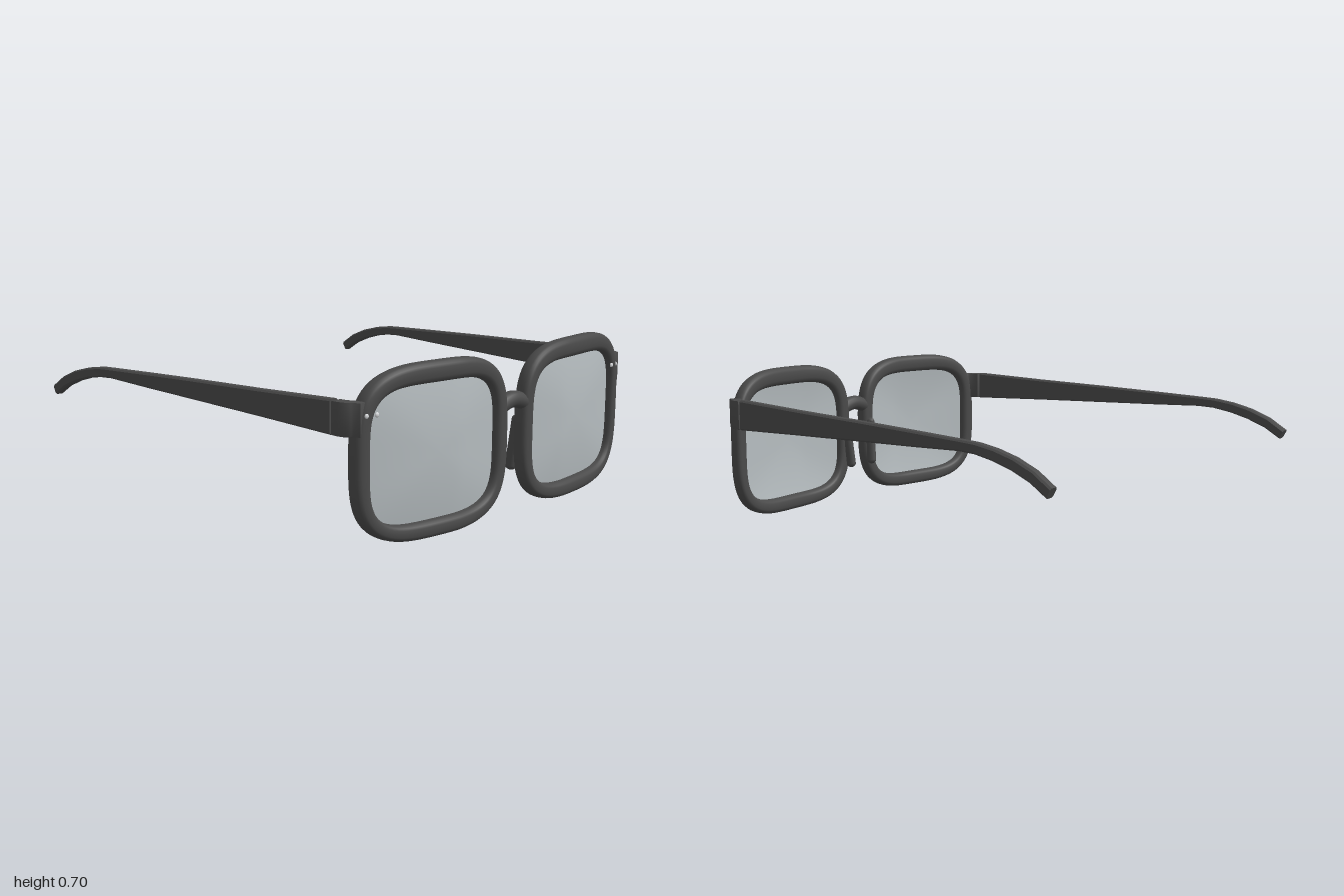
import * as THREE from 'three';
import { toCreasedNormals } from 'three/addons/utils/BufferGeometryUtils.js';

const frameMat = new THREE.MeshStandardMaterial({ color: 0x4a4a4a });
frameMat.name = 'charcoal frame';
const lensMat = new THREE.MeshStandardMaterial({ color: 0xb6bdc0, side: THREE.DoubleSide });
lensMat.name = 'pale grey lens';
const rivetMat = new THREE.MeshStandardMaterial({ color: 0xd4d6d8 });
rivetMat.name = 'silver rivet';

// Depth of the wrapped front at a given x
const wrapZ = (x) => 0.955 - 0.073 * Math.pow(Math.max(0, (Math.abs(x) - 0.33) / 0.5), 1.35);

// Rounded-square outline point at angle u
function outline(u, cx, cy, a, b, n) {
  const c = Math.cos(u), s = Math.sin(u);
  const r = Math.pow(Math.abs(c) ** n + Math.abs(s) ** n, -1 / n);
  return [cx + a * r * c, cy + b * r * s];
}
const outer = (u) => outline(u, 0.4475, 0.35, 0.3975, 0.35, 3.3);
const inner = (u) => outline(u, 0.45, 0.343, 0.33, 0.272, 4.2);

// Surface through rows of points, each row a closed loop
function loft(rows, { closed = false, caps = false } = {}) {
  const n = rows[0].length, m = rows.length, index = [];
  for (let i = 0; i < (closed ? m : m - 1); i++) {
    for (let k = 0; k < n; k++) {
      const i2 = (i + 1) % m, k2 = (k + 1) % n;
      const a = i * n + k, b = i2 * n + k, c = i2 * n + k2, d = i * n + k2;
      index.push(a, b, c, a, c, d);
    }
  }
  if (caps) {
    const e = (m - 1) * n;
    for (let k = 1; k < n - 1; k++) index.push(0, k, k + 1, e, e + k + 1, e + k);
  }
  const geo = new THREE.BufferGeometry();
  geo.setAttribute('position', new THREE.Float32BufferAttribute(rows.flat(2), 3));
  geo.setIndex(index);
  geo.computeVertexNormals();
  return geo;
}

// Mirror across x, keeping faces outward
function mirrored(geo) {
  const g = geo.index ? geo.toNonIndexed() : geo.clone();
  for (const name of ['position', 'normal']) {
    const at = g.attributes[name];
    for (let i = 0; i < at.count; i += 3) {
      const p = [0, 2, 1].map((j) => [-at.getX(i + j), at.getY(i + j), at.getZ(i + j)]);
      p.forEach((q, j) => at.setXYZ(i + j, ...q));
    }
  }
  return g;
}

// Rounded rim swept around the lens opening
function rimGeometry() {
  const rows = [], soft = (t) => Math.sign(t) * Math.abs(t) ** 0.75;
  for (let i = 0; i < 112; i++) {
    const u = (i / 112) * Math.PI * 2, o = outer(u), p = inner(u), row = [];
    for (let k = 0; k < 20; k++) {
      const v = (k / 20) * Math.PI * 2, t = 0.5 + 0.5 * soft(Math.cos(v));
      const x = p[0] + (o[0] - p[0]) * t, y = p[1] + (o[1] - p[1]) * t;
      row.push([x, y, wrapZ(x) + 0.036 * soft(Math.sin(v))]);
    }
    rows.push(row);
  }
  return loft(rows, { closed: true });
}

// Slightly domed lens sheet
function lensGeometry() {
  const rows = [];
  for (let i = 0; i <= 12; i++) {
    const r = Math.max(i / 12, 0.001) * 1.03, row = [];
    for (let k = 0; k < 64; k++) {
      const p = inner((k / 64) * Math.PI * 2);
      const x = 0.45 + (p[0] - 0.45) * r, y = 0.343 + (p[1] - 0.343) * r;
      row.push([x, y, wrapZ(x) + 0.02 * (1 - r * r)]);
    }
    rows.push(row);
  }
  return loft(rows);
}

// Temple arm: [z, bottom y, top y, z shift of the top edge]
function templeGeometry() {
  const stations = [
    [0.795, 0.447, 0.583, 0], [0.4, 0.461, 0.568, 0], [0, 0.473, 0.556, 0],
    [-0.3, 0.482, 0.545, 0], [-0.55, 0.491, 0.535, 0], [-0.63, 0.487, 0.531, -0.003],
    [-0.72, 0.471, 0.517, -0.008], [-0.81, 0.446, 0.493, -0.013],
    [-0.9, 0.41, 0.455, -0.018], [-0.978, 0.362, 0.403, -0.022],
  ];
  const rows = stations.map(([z, lo, hi, shift]) => {
    const cx = 0.855 + ((0.795 - z) / 1.795) * 0.094, w = 0.021, b = 0.007;
    const h = (hi - lo) / 2, cy = (hi + lo) / 2;
    return [[w, -h + b], [w, h - b], [w - b, h], [b - w, h], [-w, h - b], [-w, b - h], [b - w, -h], [w - b, -h]]
      .map(([x, y]) => [cx + x, cy + y, z + shift * (0.5 + y / (2 * h))]);
  });
  return toCreasedNormals(loft(rows, { caps: true }), 0.6);
}

// End piece wrapping from the rim to the hinge, drawn from above
function endPieceGeometry() {
  const s = new THREE.Shape();
  s.moveTo(0.832, -0.807);
  s.lineTo(0.872, -0.807);
  s.quadraticCurveTo(0.874, -0.865, 0.842, -0.886);
  s.lineTo(0.832, -0.91);
  s.lineTo(0.795, -0.905);
  s.lineTo(0.795, -0.87);
  s.quadraticCurveTo(0.832, -0.865, 0.832, -0.807);
  const g = new THREE.ExtrudeGeometry(s, {
    depth: 0.122, bevelSize: 0.004, bevelThickness: 0.005, bevelSegments: 2, curveSegments: 8,
  });
  g.rotateX(-Math.PI / 2).translate(0, 0.453, 0);
  return toCreasedNormals(g, 0.6);
}

export function createModel() {
  const model = new THREE.Group();
  model.name = 'glasses';
  const add = (name, geo, mat) => {
    const mesh = new THREE.Mesh(geo, mat);
    mesh.name = name;
    model.add(mesh);
  };
  const pair = (name, geo, mat) => {
    add('left' + name, geo, mat);
    add('right' + name, mirrored(geo), mat);
  };

  pair('Rim', rimGeometry(), frameMat);
  pair('Lens', lensGeometry(), lensMat);
  pair('EndPiece', endPieceGeometry(), frameMat);
  pair('Temple', templeGeometry(), frameMat);

  // Hinge pin bridging the gap behind the end piece
  pair('Hinge', new THREE.BoxGeometry(0.02, 0.08, 0.03).translate(0.853, 0.515, 0.8), frameMat);

  // Nose pad leaning back from the inner rim
  const pad = new THREE.CapsuleGeometry(0.02, 0.2, 6, 14);
  pad.scale(1, 1, 1.3).rotateX(0.1).rotateZ(-0.06).translate(0.08, 0.28, 0.912);
  pair('NosePad', pad, frameMat);

  // Twin rivets on each outer rim
  for (const [i, x] of [0.762, 0.807].entries()) {
    const rivet = new THREE.SphereGeometry(0.01, 12, 8);
    rivet.scale(1, 1, 0.6).translate(x, 0.528, wrapZ(x) + 0.033);
    pair('Rivet' + (i + 1), rivet, rivetMat);
  }

  // Arched bridge
  const arch = new THREE.CatmullRomCurve3([[-0.09, 0.455], [-0.05, 0.473], [0, 0.483], [0.05, 0.473], [0.09, 0.455]]
    .map(([x, y]) => new THREE.Vector3(x, y, 0.955)));
  add('bridge', new THREE.TubeGeometry(arch, 20, 0.035, 16), frameMat);
  return model;
}
